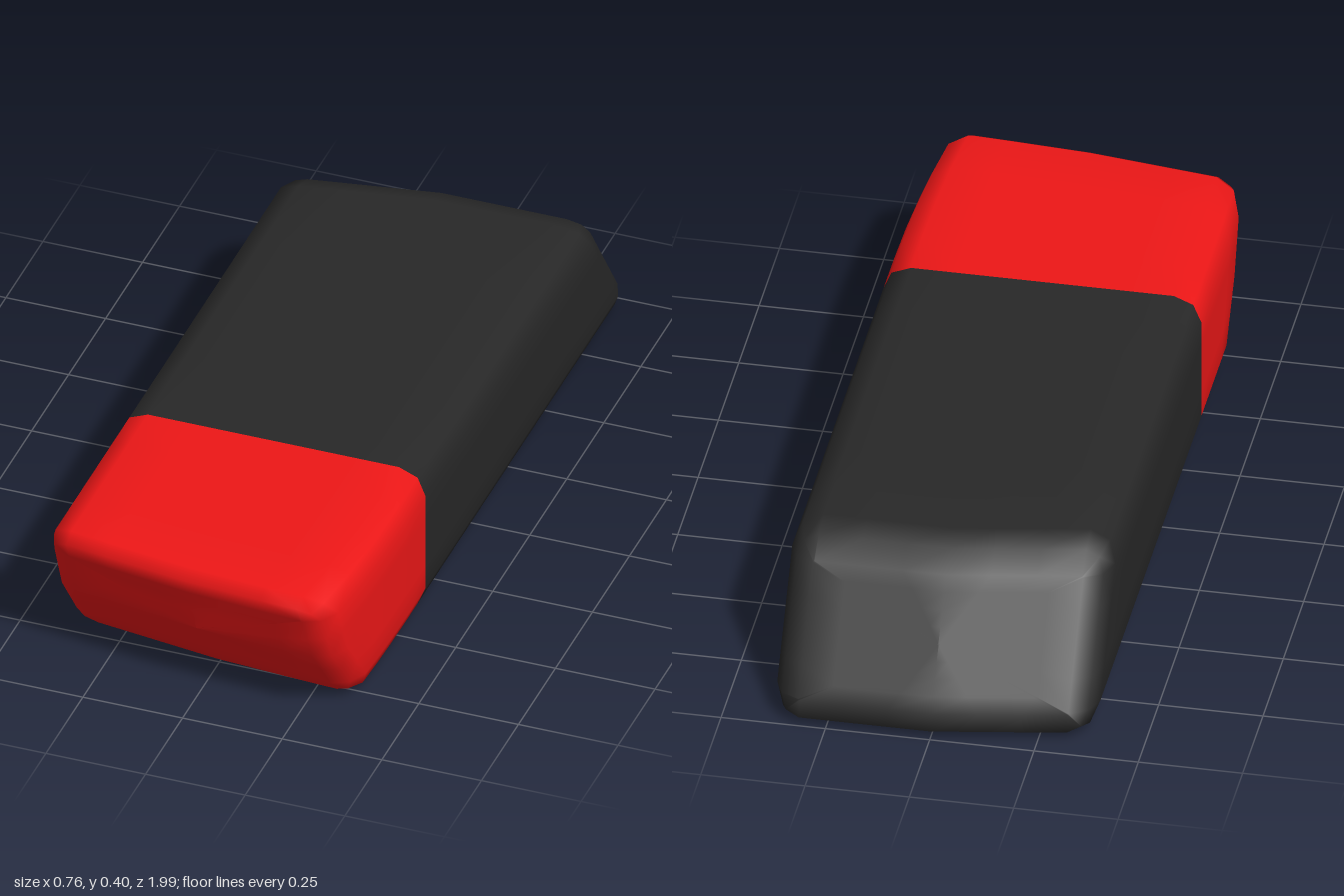
import * as THREE from 'three';

const HALF_W = 0.381, H = 0.396, R = 0.066, SPLIT = 0.385;

// End slopes: distance from the centre by height, and its change across the width
const FRONT = {
  dir: 1,
  byY: [[0, 0.795], [0.065, 0.83], [0.2, 0.93], [0.33, 0.98], [0.396, 1.035]],
  byX: [[-0.38, -0.07], [-0.315, -0.065], [0, -0.02], [0.3, 0], [0.38, 0]],
};
const BACK = {
  dir: -1,
  byY: [[0, 1.025], [0.065, 0.985], [0.33, 0.8], [0.396, 0.755]],
  byX: [[-0.38, -0.065], [-0.315, -0.056], [0, 0], [0.38, 0]],
};

// Piecewise linear lookup
function lookup(table, t) {
  for (let i = 1; i < table.length; i++) {
    const [t0, v0] = table[i - 1], [t1, v1] = table[i];
    if (t <= t1) return v0 + (v1 - v0) * Math.max(0, (t - t0) / (t1 - t0));
  }
  return table[table.length - 1][1];
}

// Rounded rectangle, counter-clockwise, with two-step corners and divided sides
function section(inset) {
  const cx = HALF_W - R, cy = H / 2 - R, r = R - inset;
  const corners = [[cx, cy], [-cx, cy], [-cx, -cy], [cx, -cy]];
  const pts = [];
  corners.forEach(([x, y], q) => {
    for (let s = 0; s <= 2; s++) {
      const a = (q + s / 2) * Math.PI / 2;
      pts.push([x + r * Math.cos(a), y + r * Math.sin(a)]);
    }
    const [px, py] = pts[pts.length - 1];
    const [nx, ny] = corners[(q + 1) % 4];
    const a = (q + 1) * Math.PI / 2;
    const ex = nx + r * Math.cos(a), ey = ny + r * Math.sin(a);
    const n = q % 2 ? 4 : 6;
    for (let k = 1; k < n; k++) pts.push([px + (ex - px) * k / n, py + (ey - py) * k / n]);
  });
  return pts;
}

// Half of the body, from the split plane to its sloped, rounded end
function buildEnd(name, end, color) {
  const outer = section(0), inner = section(R * 0.95);
  const endZ = ([x, y], depth) =>
    end.dir * (lookup(end.byY, y + H / 2) + lookup(end.byX, x) - depth);
  const rings = [];

  // Side walls
  for (const t of [0, 0.25, 0.5, 0.75, 1]) {
    rings.push(outer.map(p => [p[0], p[1], SPLIT + (endZ(p, R) - SPLIT) * t]));
  }
  // Rounded rim
  rings.push(section(R * 0.293).map(p => [...p, endZ(p, R * 0.293)]));
  // End face
  for (const s of [1, 0.75, 0.5, 0.25, 0.01]) {
    rings.push(inner.map(([x, y]) => [x * s, y * s, endZ([x * s, y * s], 0)]));
  }

  const pos = [], index = [], n = outer.length;
  for (const ring of rings) {
    for (const [x, y, z] of ring) {
      // The left wall narrows a little toward the front tip
      const t = Math.max(0, (z - SPLIT) / 0.6);
      const taper = x > 0 ? 0.032 * t ** 3 * x / HALF_W : 0;
      pos.push(x - taper, y + H / 2, z);
    }
  }
  const face = (a, b, c) => (end.dir > 0 ? index.push(a, b, c) : index.push(a, c, b));
  for (let k = 0; k < rings.length - 1; k++) {
    for (let i = 0; i < n; i++) {
      const a = k * n + i, b = k * n + (i + 1) % n;
      face(a, b, a + n);
      face(b, b + n, a + n);
    }
  }
  // Close the tiny hole in the middle of the end face
  const last = (rings.length - 1) * n;
  for (let i = 1; i < n - 1; i++) face(last, last + i, last + i + 1);

  const geo = new THREE.BufferGeometry();
  geo.setAttribute('position', new THREE.Float32BufferAttribute(pos, 3));
  geo.setIndex(index);
  geo.computeVertexNormals();
  const mesh = new THREE.Mesh(geo, new THREE.MeshStandardMaterial({ color }));
  mesh.name = name;
  return mesh;
}

export function createModel() {
  const model = new THREE.Group();
  model.name = 'eraser';
  model.add(buildEnd('redEnd', FRONT, 0xee1717));
  model.add(buildEnd('blackEnd', BACK, 0x282828));
  return model;
}
